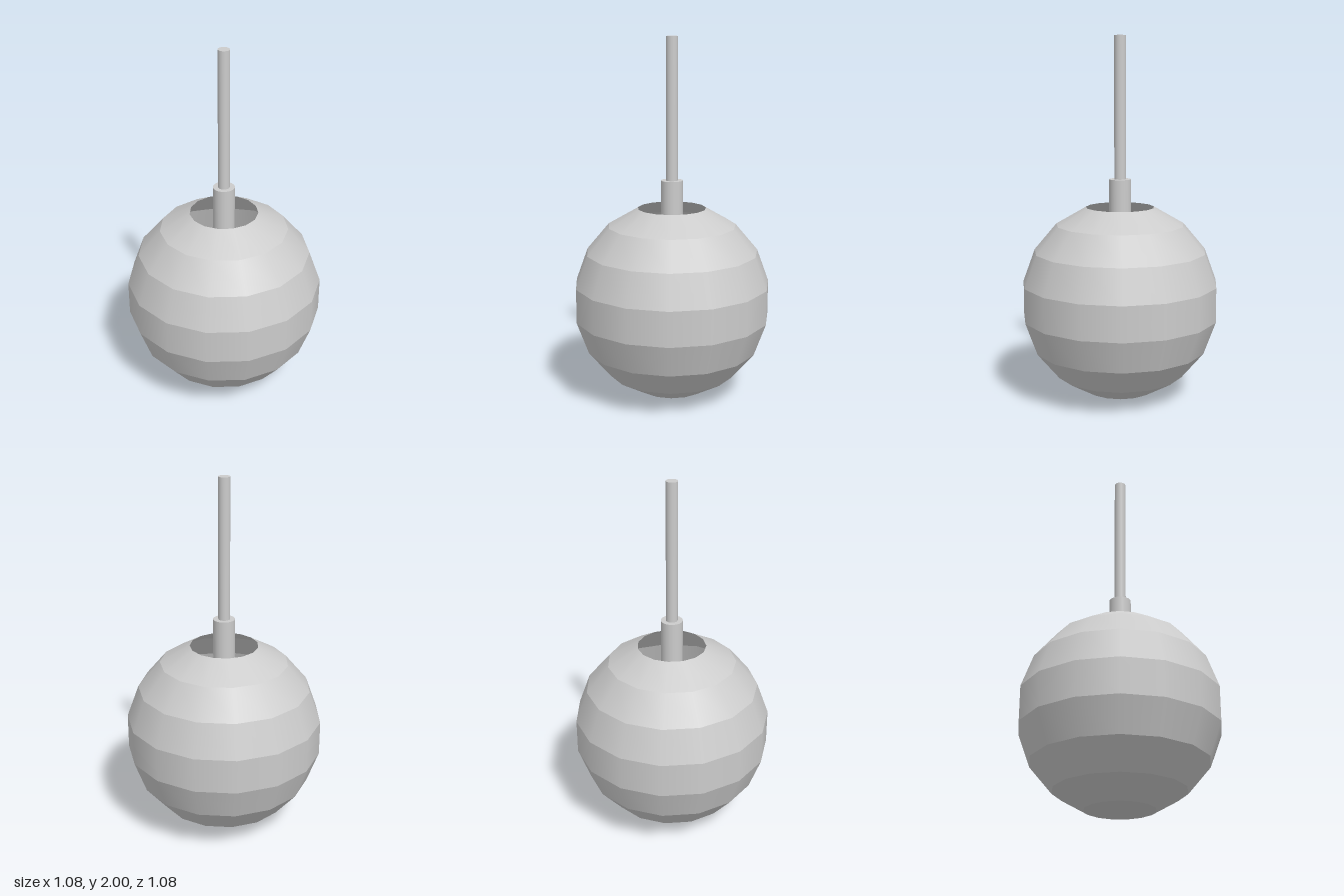
import * as THREE from 'three';
import { mergeGeometries } from 'three/addons/utils/BufferGeometryUtils.js';

const GLOBE_RADIUS = 0.552;
const AXIS_X = -0.006; // the 15-sided globe is centred by its bounds

export function createModel() {
  const group = new THREE.Group();
  group.name = 'pendantLamp';
  const material = new THREE.MeshStandardMaterial({ color: 0xcccccc });
  const shellMaterial = new THREE.MeshStandardMaterial({ color: 0xcccccc, side: THREE.DoubleSide });

  // Hollow globe, open at the top: bands smooth around, creased between rings
  const ring = (i) => {
    const a = (i * Math.PI) / 9;
    return new THREE.Vector2(GLOBE_RADIUS * Math.sin(a), GLOBE_RADIUS * (1 - Math.cos(a)));
  };
  const bands = [];
  for (let i = 0; i < 8; i++) {
    bands.push(new THREE.LatheGeometry([ring(i), ring(i + 1)], 15, Math.PI / 2));
  }
  const globe = new THREE.Mesh(mergeGeometries(bands), shellMaterial);
  globe.name = 'globeShade';
  globe.position.x = AXIS_X;
  group.add(globe);

  // Upright cylinders on the lamp's axis
  const addCylinder = (name, radius, bottom, top) => {
    const mesh = new THREE.Mesh(new THREE.CylinderGeometry(radius, radius, top - bottom, 20), material);
    mesh.name = name;
    mesh.position.set(AXIS_X, (bottom + top) / 2, 0);
    group.add(mesh);
  };
  addCylinder('socketCollar', 0.06, 0.95, 1.225);
  addCylinder('hangingRod', 0.032, 1.2, 2);

  return group;
}
